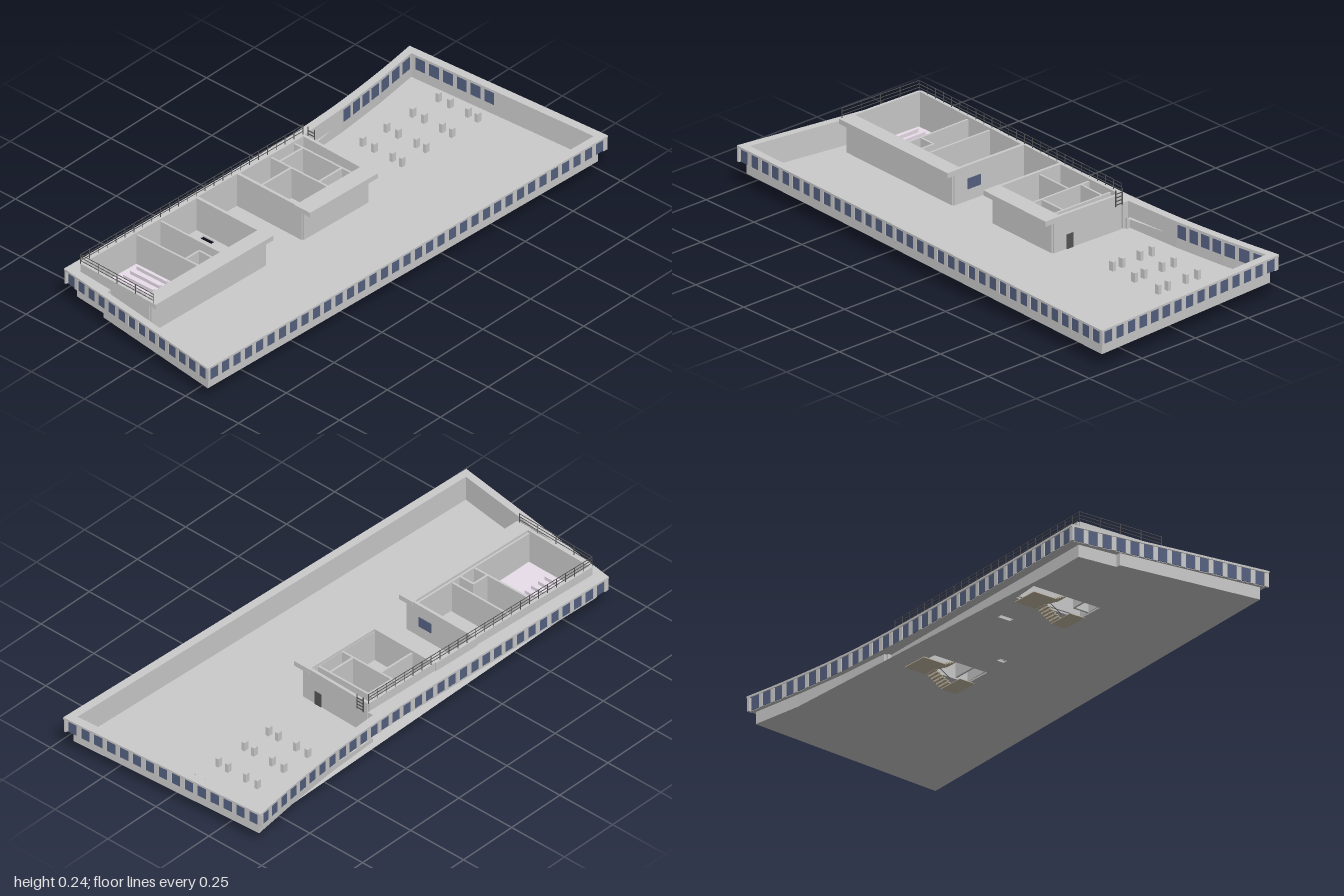
import * as THREE from 'three';

const mat = (color) => new THREE.MeshStandardMaterial({ color, side: THREE.DoubleSide });

export function createModel() {
  const root = new THREE.Group();
  const grey = mat(0xcccccc), glass = mat(0x566282), dark = mat(0x555555);
  const tan = mat(0xc8bda6), lilac = mat(0xe8deea);

  const group = (name, parent = root) => {
    const g = new THREE.Group();
    g.name = name;
    parent.add(g);
    return g;
  };
  const add = (parent, name, geo, m = grey) => {
    const mesh = new THREE.Mesh(geo, m);
    mesh.name = name;
    parent.add(mesh);
    return mesh;
  };
  // Box given by its minimum and maximum corners
  const box = (parent, name, x0, x1, y0, y1, z0, z1, m) => {
    const b = add(parent, name, new THREE.BoxGeometry(x1 - x0, y1 - y0, z1 - z0), m);
    b.position.set((x0 + x1) / 2, (y0 + y1) / 2, (z0 + z1) / 2);
    return b;
  };
  // Upright wall between two plan points [x, z]
  const wall = (parent, name, a, b, y0, y1, t, m) => {
    const dx = b[0] - a[0], dz = b[1] - a[1];
    const w = add(parent, name, new THREE.BoxGeometry(Math.hypot(dx, dz), y1 - y0, t), m);
    w.position.set((a[0] + b[0]) / 2, (y0 + y1) / 2, (a[1] + b[1]) / 2);
    w.rotation.y = -Math.atan2(dz, dx);
    return w;
  };
  // Horizontal slab from a plan outline, with holes
  const plan = (pts) => pts.map(([x, z]) => new THREE.Vector2(x, -z));
  const slab = (parent, name, pts, holes, y0, y1, m) => {
    const s = new THREE.Shape(plan(pts));
    holes.forEach((h) => s.holes.push(new THREE.Path(plan(h))));
    const geo = new THREE.ExtrudeGeometry(s, { depth: y1 - y0, bevelEnabled: false });
    geo.rotateX(-Math.PI / 2).translate(0, y0, 0);
    return add(parent, name, geo, m);
  };
  const rect = (x0, x1, z0, z1) => [[x0, z0], [x1, z0], [x1, z1], [x0, z1]];

  // Building outline: three straight sides and a gently curved back
  const back = [[-0.88, -0.43], [-0.4, -0.408], [0, -0.392], [0.25, -0.388], [0.5, -0.395], [0.75, -0.418], [0.945, -0.445]];
  const sides = [back, [[0.945, -0.445], [1, 0.44]], [[1, 0.44], [-1, 0.355]], [[-1, 0.355], [-0.88, -0.43]]].map((s) => {
    const c = new THREE.CatmullRomCurve3(s.map(([x, z]) => new THREE.Vector3(x, 0, z)));
    return c.getSpacedPoints(Math.round(c.getLength() / 0.058)).map((p) => [p.x, p.z]);
  });
  const outline = sides.flatMap((s) => s.slice(0, -1));
  const inset = ([x, z]) => [x * 0.991, z * 0.982];
  const inner = [[-0.855, -0.375], [0.26, -0.328], [0.26, -0.352], [0.5, -0.362], [0.72, -0.383], [0.915, -0.41],
    [0.963, 0.405], [-0.965, 0.325], [-0.885, -0.22], [-0.868, -0.22]];
  const base = [[-0.862, -0.385], [0.27, -0.338], [0.27, -0.362], [0.5, -0.372], [0.72, -0.393], [0.925, -0.42],
    [0.973, 0.416], [-0.975, 0.333], [-0.896, -0.228], [-0.878, -0.228]];

  // Floor, lower wall, overhanging window band and coping
  const shell = group('shell');
  const floorHoles = [rect(-0.575, -0.46, -0.36, -0.065), rect(-0.315, -0.295, -0.3, -0.245),
    rect(0.09, 0.2, -0.28, -0.045), rect(-0.03, -0.01, -0.08, -0.05)];
  slab(shell, 'floor', inner, floorHoles, 0.058, 0.064);
  slab(shell, 'lowerWall', base, [inner], 0.058, 0.105);
  slab(shell, 'upperWall', outline.map(inset), [inner], 0.105, 0.157);
  slab(shell, 'coping', outline, [inner], 0.157, 0.165);

  // Windows and piers round the outside
  const windows = group('windows');
  sides.forEach((s) => s.slice(0, -1).forEach((p, i) => {
    const a = inset(p), b = inset(s[i + 1]);
    const at = (t) => [a[0] + (b[0] - a[0]) * t, a[1] + (b[1] - a[1]) * t];
    wall(windows, 'window', at(0.18), at(0.82), 0.107, 0.157, 0.005, glass);
    wall(windows, 'pier', at(-0.16), at(0.16), 0.105, 0.157, 0.009);
  }));
  // Windows on the inner face of the open corner
  const innerRow = (a, b, n) => {
    for (let i = 0; i < n; i++) {
      const at = (t) => [a[0] + (b[0] - a[0]) * (i + t) / n, a[1] + (b[1] - a[1]) * (i + t) / n];
      wall(windows, 'innerWindow', at(0.15), at(0.85), 0.105, 0.155, 0.004, glass);
    }
  };
  innerRow([0.5, -0.362], [0.72, -0.383], 4);
  innerRow([0.72, -0.383], [0.915, -0.41], 3);
  innerRow([0.917, -0.4], [0.938, -0.03], 6);

  // Low posts standing in the open corner
  const posts = group('floorPosts');
  for (const x of [0.49, 0.61, 0.74, 0.87])
    for (const z of [-0.255, -0.2, -0.115, -0.07]) {
      const zz = z + (x - 0.49) * 0.04;
      box(posts, 'post', x - 0.01, x + 0.01, 0.064, 0.1, zz - 0.007, zz + 0.007);
    }

  // Two roofless rooms, each with outer walls, a front ledge and partitions
  const F = 0.064, T = 0.2;
  const makeRoom = (name, bl, br, fr, fl, depth) => {
    const g = group(name);
    wall(g, 'backWall', bl, br, F, T, 0.012);
    wall(g, 'rightWall', br, fr, F, T, 0.012);
    wall(g, 'frontWall', fl, fr, F, T, 0.012);
    wall(g, 'leftWall', bl, fl, F, T, 0.012);
    const out = ([x, z], d) => [x, z + d];
    const o = 0.008;
    slab(g, 'frontLedge', [[fl[0] - o, fl[1] - 0.03], [fr[0] + o, fr[1] - 0.03], out([fr[0] + o, fr[1]], depth),
      out([fl[0] - o, fl[1]], depth)], [], 0.18, T);
    return g;
  };
  const west = makeRoom('westRoom', [-0.85, -0.374], [-0.28, -0.345], [-0.285, -0.02], [-0.86, -0.042], 0.034);
  const east = makeRoom('eastRoom', [-0.075, -0.336], [0.252, -0.322], [0.243, -0.012], [-0.08, -0.026], 0.042);
  const W = (g, x0, z0, x1, z1) => wall(g, 'partition', [x0, z0], [x1, z1], F, 0.19, 0.008);
  W(west, -0.58, -0.36, -0.578, -0.07);
  W(west, -0.462, -0.355, -0.464, -0.07);
  W(west, -0.855, -0.075, -0.29, -0.055);
  W(west, -0.575, -0.13, -0.51, -0.128);
  W(west, -0.508, -0.13, -0.508, -0.065);
  W(east, 0.086, -0.325, 0.086, -0.05);
  W(east, 0.204, -0.32, 0.204, -0.045);
  W(east, -0.075, -0.235, 0.086, -0.229);
  W(east, 0.086, -0.285, 0.204, -0.28);
  W(east, 0.086, -0.1, 0.204, -0.097);
  W(east, -0.075, -0.053, 0.245, -0.04);
  wall(root, 'linkWall', [-0.28, -0.349], [-0.075, -0.34], F, T, 0.012);
  box(west, 'sideWindow', -0.279, -0.274, 0.11, 0.15, -0.14, -0.08, glass);
  box(east, 'sideDoor', 0.25, 0.254, F, 0.12, -0.1, -0.07, dark);

  // Pale floor with rows of low benches
  box(west, 'paleFloor', -0.847, -0.584, F, 0.068, -0.362, -0.08, lilac);
  for (let i = 0; i < 7; i++) {
    const x = -0.815 + i * 0.035;
    box(west, 'bench', x - 0.006, x + 0.006, 0.068, 0.082, -0.33, -0.19, lilac);
  }

  // Stairs hanging below the floor: lower flight, back landing, upper flight
  const makeStairs = (name, x0, z0) => {
    const g = group(name);
    const x1 = x0 + 0.108, xm = x0 + 0.055;
    box(g, 'lowerLanding', x0, x1, 0, 0.002, z0 - 0.065, z0, tan);
    box(g, 'backLanding', x0, x1, 0.038, 0.041, z0 - 0.225, z0 - 0.125, tan);
    for (let i = 0; i < 6; i++) {
      const z = z0 - 0.062 - i * 0.0115, y = i * 0.0066;
      box(g, 'tread', xm, x1, y + 0.004, y + 0.007, z - 0.013, z, tan);
      box(g, 'riser', xm, x1, y, y + 0.007, z - 0.002, z, tan);
    }
    for (let i = 0; i < 4; i++) {
      const z = z0 - 0.13 + i * 0.0115, y = 0.039 + i * 0.0055;
      box(g, 'tread', x0, xm - 0.003, y + 0.003, y + 0.006, z, z + 0.013, tan);
      box(g, 'riser', x0, xm - 0.003, y, y + 0.006, z, z + 0.002, tan);
    }
    const rail = box(g, 'handrail', xm - 0.002, xm, 0, 0.002, -0.04, 0.04, dark);
    rail.position.set(xm, 0.042, z0 - 0.1);
    rail.rotation.x = Math.atan2(0.04, 0.069);
  };
  makeStairs('westStairs', -0.572, -0.13);
  makeStairs('eastStairs', 0.092, -0.1);

  // Railing along the back and both ends of the rooms
  const railing = group('railing');
  const railRun = (a, b, pitch) => {
    const n = Math.round(Math.hypot(b[0] - a[0], b[1] - a[1]) / pitch);
    for (const y of [0.212, 0.225, 0.238]) wall(railing, 'rail', a, b, y - 0.001, y + 0.001, 0.002, dark);
    for (let i = 0; i <= n; i++) {
      const x = a[0] + (b[0] - a[0]) * i / n, z = a[1] + (b[1] - a[1]) * i / n;
      box(railing, 'railPost', x - 0.001, x + 0.001, 0.198, 0.24, z - 0.001, z + 0.001, dark);
    }
  };
  railRun([-0.855, -0.374], [0.255, -0.326], 0.045);
  railRun([-0.855, -0.374], [-0.866, -0.02], 0.088);

  // Ladder on the side of the east room
  const ladder = group('ladder');
  for (const z of [-0.315, -0.285]) box(ladder, 'ladderSide', 0.268, 0.271, 0.165, 0.228, z - 0.0015, z + 0.0015, dark);
  for (let i = 0; i < 4; i++) box(ladder, 'rung', 0.268, 0.271, 0.17 + i * 0.014, 0.173 + i * 0.014, -0.315, -0.285, dark);

  return root;
}
